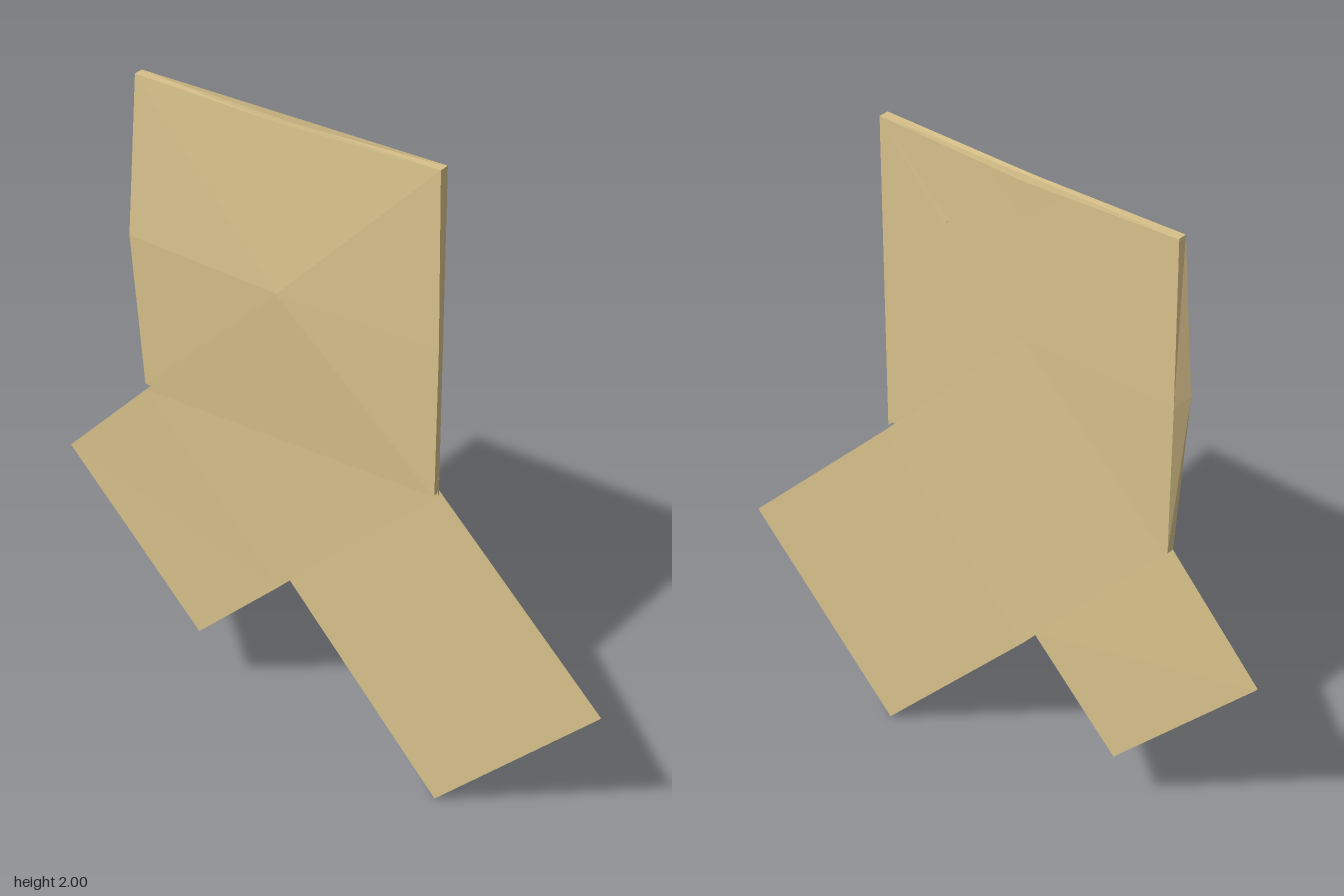
import * as THREE from 'three';

const paper = new THREE.MeshStandardMaterial({
  color: 0xd6c08a, flatShading: true, side: THREE.DoubleSide,
});

// Mesh from a list of triangles, each made of three [x, y, z] corners
function facets(name, tris) {
  const geo = new THREE.BufferGeometry();
  geo.setAttribute('position', new THREE.Float32BufferAttribute(tris.flat(2), 3));
  geo.computeVertexNormals();
  const mesh = new THREE.Mesh(geo, paper);
  mesh.name = name;
  return mesh;
}

// Thin sheet of paper: outline runs counter-clockwise seen from +x
function sheet(name, outline, thickness = 0.006) {
  const back = outline.map(([x, y, z]) => [x - thickness, y, z]);
  const tris = [];
  const n = outline.length;
  for (let i = 0; i < n; i++) {
    const j = (i + 1) % n;
    if (i > 0 && i < n - 1) {
      tris.push([outline[0], outline[i], outline[j]]);
      tris.push([back[0], back[j], back[i]]);
    }
    tris.push([outline[i], back[i], back[j]], [outline[i], back[j], outline[j]]);
  }
  return facets(name, tris);
}

// Puffed square pocket: two shallow fans joined by narrow side gussets
function pocket() {
  const outer = [
    [0.022, 2.0, 0.36], [0.018, 1.5, 0.365], [0.012, 1.05, 0.365], [0.012, 1.05, -0.11],
    [0.012, 1.06, -0.59], [0.02, 1.52, -0.595], [0.022, 2.0, -0.59], [0.026, 1.985, -0.12],
  ];
  const inner = [
    [-0.006, 2.0, 0.36], [-0.012, 1.5, 0.372], [-0.004, 1.05, 0.365], [-0.012, 1.05, -0.11],
    [-0.012, 1.06, -0.59], [-0.03, 1.53, -0.61], [-0.004, 2.0, -0.59], [-0.008, 1.99, -0.12],
  ];
  const outerPeak = [0.018, 1.52, -0.11];
  const innerPeak = [-0.046, 1.52, -0.11];
  const tris = [];
  outer.forEach((p, i) => {
    const j = (i + 1) % outer.length;
    tris.push([outerPeak, p, outer[j]], [innerPeak, inner[j], inner[i]]);
    tris.push([p, inner[i], inner[j]], [p, inner[j], outer[j]]);
  });
  return facets('foldedPocket', tris);
}

export function createModel() {
  const model = new THREE.Group();
  model.name = 'foldedPaper';
  model.add(pocket());

  // Triangular flap over the upper half of the pocket, with a small crease
  model.add(sheet('cornerFlap', [[0.025, 2.0, 0.36], [0.018, 1.04, 0.365], [0.025, 2.0, -0.59], [0.028, 1.985, -0.12]], 0.005));
  model.add(sheet('flapCrease', [[0.026, 2.0, 0.36], [0.029, 1.765, 0.145], [0.028, 1.78, 0.13]], 0.004));

  // Long strip, lying on the pocket and bent outwards below it
  const longStrip = new THREE.Group();
  longStrip.name = 'longStrip';
  const bendA = [0.036, 1.03, 0.365];
  const bendB = [0.045, 0.55, -0.14];
  longStrip.add(
    sheet('longStripUpper', [[0.027, 1.52, -0.11], bendA, bendB, [0.022, 1.06, -0.58]]),
    sheet('longStripLower', [bendA, [0.035, 0.52, 0.88], [0.038, 0, 0.37], bendB]),
  );
  model.add(longStrip);

  // Short strip on the other face, crossing the opposite way
  const shortStrip = new THREE.Group();
  shortStrip.name = 'shortStrip';
  const foldA = [-0.006, 0.55, -0.14];
  const foldB = [-0.017, 1.05, -0.58];
  shortStrip.add(
    sheet('shortStripUpper', [[-0.004, 1.05, 0.36], foldA, foldB, [-0.044, 1.52, -0.11]]),
    sheet('shortStripLower', [foldA, [0, 0.27, -0.43], [-0.003, 0.75, -0.88], foldB]),
  );
  model.add(shortStrip);
  return model;
}
